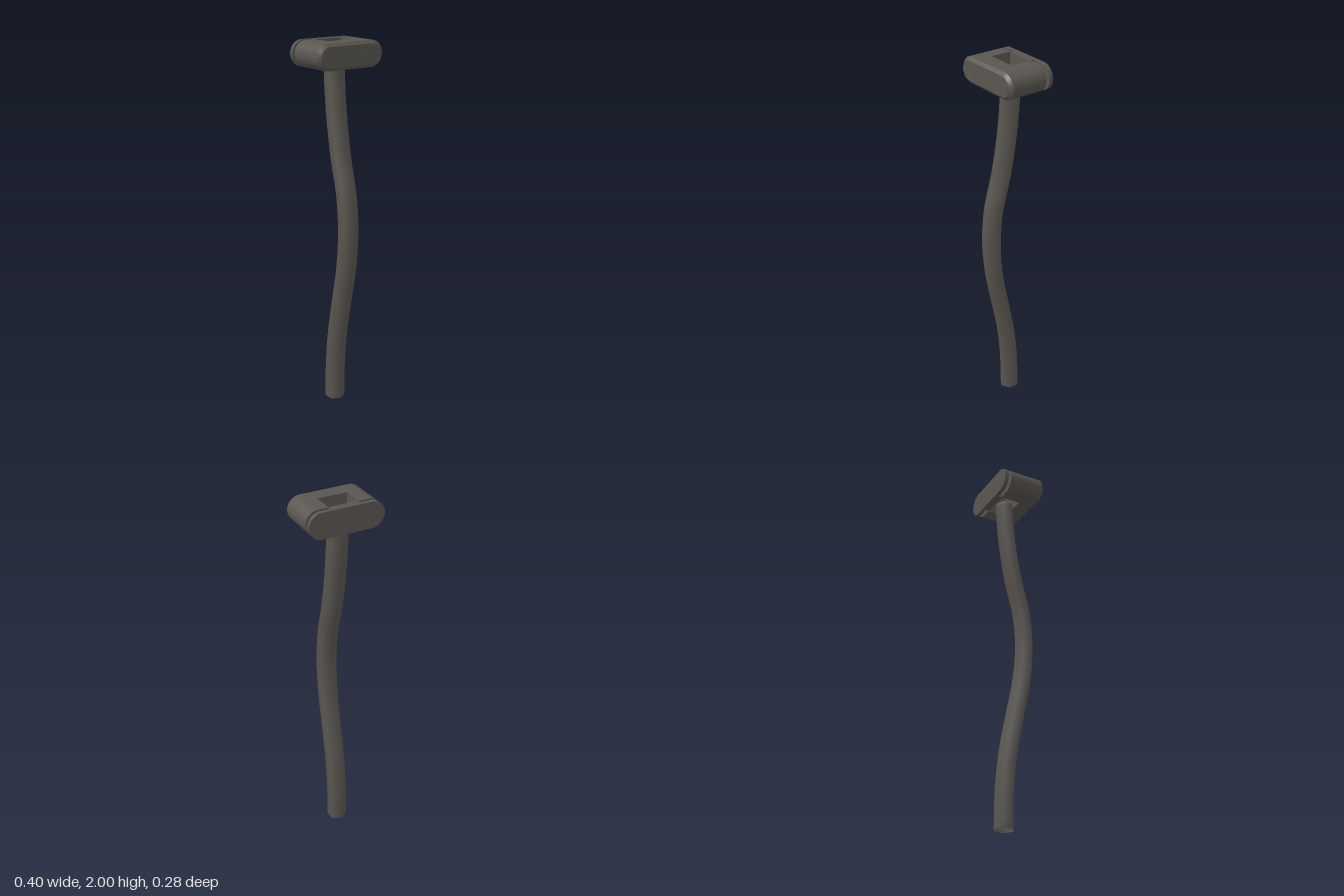
import * as THREE from 'three';
import { mergeVertices, toCreasedNormals } from 'three/addons/utils/BufferGeometryUtils.js';

const R = 0.0675;          // end radius of the clamp outline
const CORE = 0.1325;       // centre of each rounded end
const MID_Y = 2 - R;

// Rounded outline between x0 and the right-hand end; mirrored when full
function outline(full, x0 = 0) {
  const s = new THREE.Shape();
  if (full) s.absarc(-CORE, 0, R, Math.PI / 2, Math.PI * 1.5, false);
  else { s.moveTo(x0, R); s.lineTo(x0, -R); }
  s.absarc(CORE, 0, R, -Math.PI / 2, Math.PI / 2, false);
  s.closePath();
  return s;
}

// Straight extrusion from z0 to z1, with an optional inset of the front outline
function slab(shape, z0, z1, inset = 0) {
  const g = new THREE.ExtrudeGeometry(shape, { depth: z1 - z0, bevelEnabled: false, curveSegments: 20 });
  const p = g.attributes.position;
  if (inset) {
    const k = (R - inset) / R;
    for (let i = 0; i < p.count; i++) {
      if (p.getZ(i) < 1e-5) continue;
      const cx = THREE.MathUtils.clamp(p.getX(i), -CORE, CORE);
      p.setXY(i, cx + (p.getX(i) - cx) * k, p.getY(i) * k);
    }
  }
  g.translate(0, MID_Y, z0);
  return toCreasedNormals(g, 0.5);
}

// Round peg along z
function peg(x, r, z0, z1) {
  return new THREE.CylinderGeometry(r, r, z1 - z0, 32).rotateX(Math.PI / 2).translate(x, MID_Y, (z0 + z1) / 2);
}

// Open six-sided tube following a gentle S-bend
function rodGeometry() {
  const h = 1.87;
  const path = new THREE.CatmullRomCurve3([
    [0, -0.037], [0.2, -0.033], [0.4, -0.012], [0.6, 0.026], [0.8, 0.066], [1.0, 0.083],
    [1.2, 0.068], [1.4, 0.018], [1.6, -0.017], [1.75, -0.033], [h, -0.04],
  ].map(([y, z]) => new THREE.Vector3(0, y, z)));
  let g = new THREE.CylinderGeometry(0.054, 0.054, h, 6, 50, true);
  const p = g.attributes.position;
  for (let i = 0; i < p.count; i++) {
    const c = path.getPoint(THREE.MathUtils.clamp(p.getY(i) / h + 0.5, 0, 1));
    p.setXYZ(i, p.getX(i), c.y, p.getZ(i) + c.z);
  }
  g.deleteAttribute('uv');
  g.deleteAttribute('normal');
  g = mergeVertices(g);
  g.computeVertexNormals();
  return g;
}

export function createModel() {
  const model = new THREE.Group();
  model.name = 'clampedRod';
  const metal = new THREE.MeshStandardMaterial({ color: 0x5a5651, side: THREE.DoubleSide });
  metal.name = 'darkMetal';

  const add = (name, geometry, parent) => {
    const m = new THREE.Mesh(geometry, metal);
    m.name = name;
    parent.add(m);
    return m;
  };

  add('bentRod', rodGeometry(), model);

  // Clamp block with a chamfered front and an open slot at the back
  const clamp = new THREE.Group();
  clamp.name = 'clamp';
  model.add(clamp);
  add('clampBody', slab(outline(true), 0.013, 0.095), clamp);
  add('clampFront', slab(outline(true), 0.095, 0.11, 0.016), clamp);
  const arm = slab(outline(false, 0.079), -0.1, 0.013);
  add('clampArmLeft', arm, clamp);
  add('clampArmRight', arm.clone().rotateZ(Math.PI).translate(0, 2 * MID_Y, 0), clamp);

  // Back plate with the tab that closes the slot
  add('backPlate', slab(outline(true), -0.139, -0.118), clamp);
  add('plateTab', new THREE.BoxGeometry(0.154, 2 * R - 0.002, 0.024).translate(0, MID_Y, -0.107), clamp);

  // Bolts: heads in the front face, shanks crossing the gap
  for (const side of [-1, 1]) {
    const tag = side > 0 ? 'Left' : 'Right';
    add('boltHead' + tag, peg(side * 0.131, 0.045, 0.104, 0.1115), clamp);
    add('boltShank' + tag, peg(side * 0.131, 0.02, -0.12, -0.095), clamp);
  }
  return model;
}
